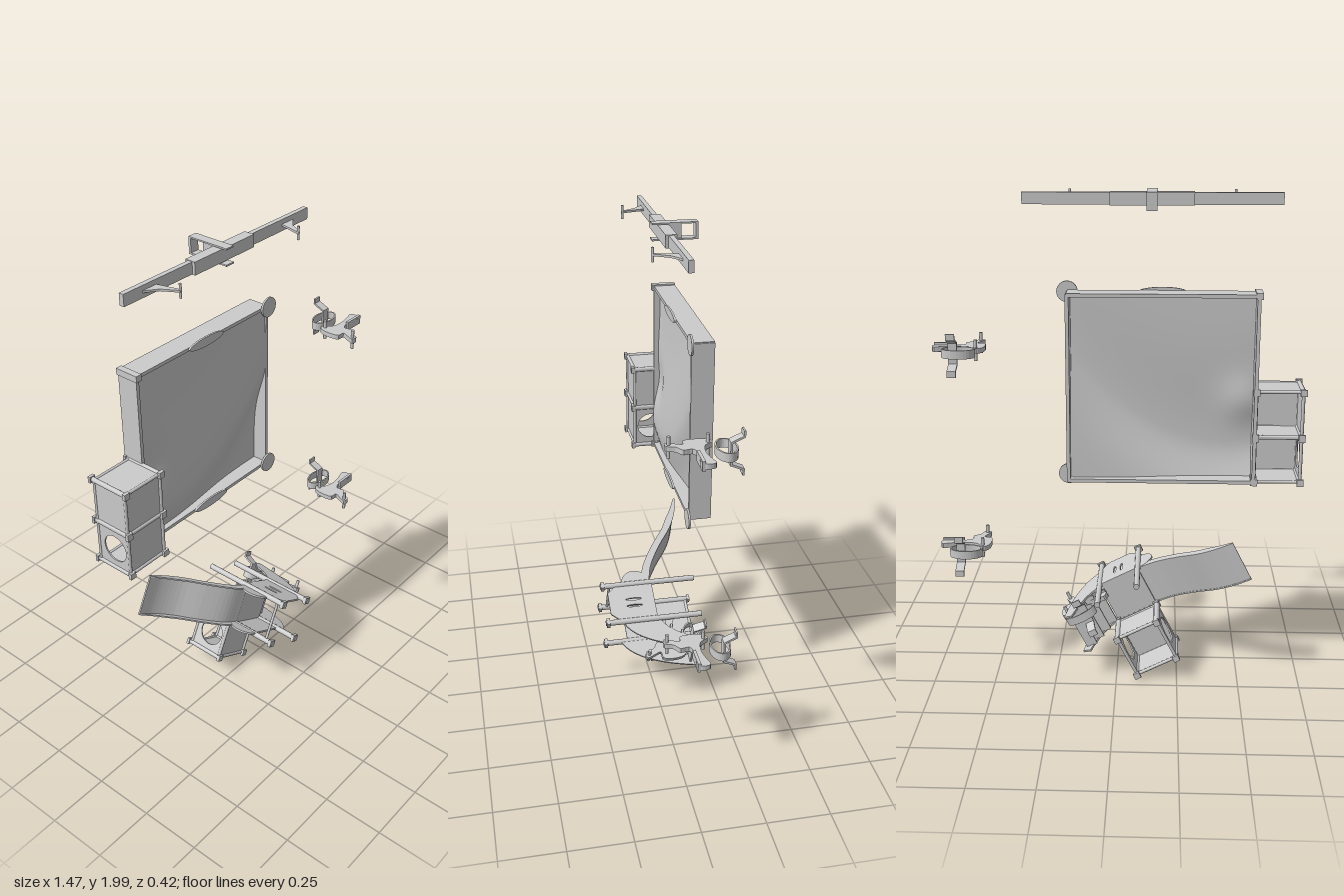
import * as THREE from 'three';

const mat = new THREE.MeshStandardMaterial({ color: 0xcccccc, side: THREE.DoubleSide });

function add(parent, name, geo, x = 0, y = 0, z = 0) {
  const m = new THREE.Mesh(geo, mat);
  m.name = name;
  m.position.set(x, y, z);
  parent.add(m);
  return m;
}
const box = (p, n, w, h, d, x, y, z) => add(p, n, new THREE.BoxGeometry(w, h, d), x, y, z);

// Round rod between two points
function rod(p, name, a, b, r) {
  const A = new THREE.Vector3(...a), B = new THREE.Vector3(...b);
  const m = add(p, name, new THREE.CylinderGeometry(r, r, A.distanceTo(B), 12));
  m.position.copy(A).add(B).multiplyScalar(0.5);
  m.quaternion.setFromUnitVectors(new THREE.Vector3(0, 1, 0), B.sub(A).normalize());
  return m;
}

// Upright slab: outline in x and z, thickness along y
function slab(p, name, shape, thick, x = 0, y = 0, z = 0) {
  const g = new THREE.ExtrudeGeometry(shape, { depth: thick, bevelEnabled: false, curveSegments: 16 });
  g.translate(0, 0, -thick / 2).rotateX(Math.PI / 2);
  return add(p, name, g, x, y, z);
}
const poly = pts => new THREE.Shape(pts.map(q => new THREE.Vector2(...q)));
const smooth = pts => new THREE.Shape(
  new THREE.CatmullRomCurve3(pts.map(q => new THREE.Vector3(q[0], q[1], 0)), true, 'centripetal')
    .getPoints(60).slice(0, -1).map(v => new THREE.Vector2(v.x, v.y)));
const rect = (w, z0, z1) => poly([[-w / 2, z0], [w / 2, z0], [w / 2, z1], [-w / 2, z1]]);
function hole(shape, x, z, rx, rz = rx) {
  const h = new THREE.Path();
  h.absellipse(x, z, rx, rz, 0, Math.PI * 2);
  shape.holes.push(h);
  return shape;
}

// Framed crawl box, open towards the ground
function crawlBox(parent, x, y, holes, top) {
  const g = new THREE.Group();
  g.name = 'crawlBox';
  g.position.set(x, y, 0);
  parent.add(g);
  const h = 0.09, lo = -0.19, hi = top - 0.015;
  for (const i of [-1, 1]) {
    for (const j of [-1, 1]) {
      rod(g, 'post', [i * h, j * h, -0.21], [i * h, j * h, top], 0.01);
      box(g, 'postCap', 0.026, 0.026, 0.014, i * h, j * h, top - 0.007);
      box(g, 'postFoot', 0.026, 0.026, 0.012, i * h, j * h, -0.204);
    }
    for (const z of [lo, hi]) {
      rod(g, 'rail', [i * h, -h, z], [i * h, h, z], 0.007);
      rod(g, 'rail', [-h, i * h, z], [h, i * h, z], 0.007);
    }
    const s = rect(0.17, lo, hi);
    if (holes) hole(s, 0, -0.105, 0.056);
    slab(g, 'sidePanel', s, 0.006, i * h, 0, 0).rotation.z = Math.PI / 2;
    slab(g, 'endPanel', rect(0.17, lo, hi), 0.006, 0, i * h, 0);
  }
  box(g, 'roof', 0.17, 0.17, 0.006, 0, 0, hi - 0.004);
}

// Rider on a bent strap spring
function rider(parent, x, y, angle) {
  const g = new THREE.Group();
  g.name = 'springRider';
  g.position.set(x, y, 0);
  g.rotation.z = angle;
  parent.add(g);
  slab(g, 'body', smooth([[-0.105, -0.10], [-0.08, -0.118], [-0.055, -0.085], [0, -0.074], [0.05, -0.082],
    [0.09, -0.09], [0.096, -0.055], [0.07, -0.038], [0.02, -0.05], [-0.03, -0.035], [-0.028, 0],
    [-0.055, 0.02], [-0.07, 0.055], [-0.096, 0.052], [-0.085, 0.02], [-0.075, -0.008], [-0.105, -0.015]]), 0.02);
  box(g, 'seat', 0.09, 0.038, 0.012, 0.048, 0, -0.046);
  rod(g, 'handle', [-0.08, -0.042, 0.042], [-0.08, 0.042, 0.042], 0.007);
  rod(g, 'footPeg', [-0.08, -0.042, -0.1], [-0.08, 0.042, -0.1], 0.007);
  const ring = new THREE.Shape();
  ring.absellipse(0, 0, 0.066, 0.04, 0, Math.PI * 2);
  slab(g, 'strapSpring', hole(ring, 0, 0, 0.06, 0.034), 0.034, -0.02, 0, -0.152);
  const arch = poly([[-0.085, -0.21], [-0.06, -0.21], [-0.04, -0.165], [0.04, -0.165], [0.06, -0.21],
    [0.085, -0.21], [0.085, -0.203], [0.065, -0.203], [0.045, -0.157], [-0.045, -0.157], [-0.065, -0.203], [-0.085, -0.203]]);
  slab(g, 'anchorStrap', arch, 0.035).rotation.z = Math.PI / 2;
}

function seesaw(parent) {
  const g = new THREE.Group();
  g.name = 'seesaw';
  g.position.set(-0.132, 1.965, 0);
  parent.add(g);
  box(g, 'board', 0.99, 0.046, 0.02, 0, 0, -0.075);
  box(g, 'boardCentre', 0.32, 0.05, 0.044, 0, 0, -0.075);
  for (const s of [-1, 1]) {
    box(g, 'pivotPlate', 0.04, 0.006, 0.18, 0, s * 0.031, -0.12);
    rod(g, 'grip', [s * 0.32, -0.027, 0.027], [s * 0.32, 0.027, 0.027], 0.005);
    const stem = poly([[s * 0.41, -0.068], [s * 0.34, -0.068], [s * 0.315, 0.03], [s * 0.325, 0.03], [s * 0.36, -0.03]]);
    slab(g, 'gripStem', stem, 0.008);
  }
  box(g, 'pivotBase', 0.04, 0.06, 0.01, 0, 0, -0.205);
  box(g, 'pivotBlock', 0.03, 0.06, 0.05, 0, 0, -0.12);
}

function sandPit(parent) {
  const g = new THREE.Group();
  g.name = 'sandPit';
  g.position.set(-0.175, 1.25, 0);
  parent.add(g);
  // Rolling sand with a curved crest, steeper on one side
  const sand = new THREE.PlaneGeometry(0.72, 0.73, 48, 48);
  const p = sand.attributes.position;
  for (let i = 0; i < p.count; i++) {
    const s = p.getX(i) / 0.36, t = p.getY(i) / 0.365;
    const d = t - (-0.45 + 0.5 * s + 0.35 * s * s);
    const fall = d < 0 ? 0.065 * (1 - Math.exp(-((d / 0.5) ** 2))) : 0.03 * (1 - Math.exp(-((d / 0.8) ** 2)));
    const dip = 0.02 * Math.exp(-(((s + 0.9) / 0.25) ** 2) - ((t + 0.15) / 0.25) ** 2);
    p.setZ(i, -0.118 - fall - dip);
  }
  sand.computeVertexNormals();
  add(g, 'sand', sand);
  for (const s of [-1, 1]) {
    box(g, 'sideWall', 0.014, 0.74, 0.09, s * 0.362, 0, -0.165);
    box(g, 'endWall', 0.73, 0.014, 0.09, 0, s * 0.367, -0.165);
    box(g, 'cornerPost', 0.026, 0.026, 0.1, -0.364, s * 0.367, -0.16);
    const lens = new THREE.CylinderGeometry(0.095, 0.095, 0.008, 32);
    lens.rotateX(Math.PI / 2).scale(1, 0.2, 1);
    add(g, 'ledgeSeat', lens, 0, s * 0.367, -0.116);
    const disc = new THREE.CylinderGeometry(0.041, 0.041, 0.008, 32).rotateX(Math.PI / 2);
    add(g, 'cornerSeat', disc, 0.367, s * 0.367, -0.116);
  }
}

function playTower(parent) {
  const g = new THREE.Group();
  g.name = 'playTower';
  g.position.set(-0.043, 0.31, 0);
  g.rotation.z = -0.475;
  parent.add(g);
  const h = 0.09;
  for (const i of [-1, 1]) for (const j of [-1, 1]) {
    rod(g, 'post', [i * h, j * h, -0.21], [i * h, j * h, 0.205], 0.012);
    box(g, 'postCap', 0.03, 0.03, 0.014, i * h, j * h, 0.195);
  }
  box(g, 'deck', 0.18, 0.18, 0.014, 0, 0, -0.012);
  rod(g, 'slideBar', [-h, -h, 0.165], [-h, h, 0.165], 0.006);
  // Wall with grip slots, and a lower one above the crawl box
  const wall = poly([[-0.085, -0.02], [0.085, -0.02], [0.085, 0.14], [0.05, 0.178], [-0.05, 0.178], [-0.085, 0.14]]);
  for (const x of [-0.012, 0.02]) hole(wall, x, 0.07, 0.006, 0.035);
  slab(g, 'slottedWall', wall, 0.008, 0, h, 0);
  slab(g, 'lowWall', rect(0.17, -0.02, 0.1), 0.008, 0, -h, 0);
  // Slide bed, sides and rounded entry guards
  const curve = new THREE.CatmullRomCurve3([[-0.09, -0.005], [-0.17, -0.025], [-0.27, -0.08], [-0.37, -0.15], [-0.45, -0.185], [-0.52, -0.2]]
    .map(q => new THREE.Vector3(q[0], q[1], 0)));
  const line = curve.getPoints(24);
  const strip = rise => poly([...line.map(v => [v.x, v.y - 0.006]),
    ...line.slice().reverse().map((v, i) => [v.x, v.y + rise * Math.min(1, 0.1 + i / 8)])]);
  slab(g, 'slideBed', poly([...line.map(v => [v.x, v.y - 0.004]), ...line.slice().reverse().map(v => [v.x, v.y + 0.003])]), 0.17);
  for (const s of [-1, 1]) {
    slab(g, 'slideSide', strip(0.03), 0.006, 0, s * 0.085, 0);
    const guard = new THREE.Shape();
    guard.absellipse(-h, 0.05, 0.065, 0.062, Math.PI / 2, Math.PI * 1.5);
    slab(g, 'entryGuard', guard, 0.008, 0, s * 0.085, 0);
    // Curved climber cheeks
    const cheek = new THREE.Shape();
    cheek.moveTo(0.09, 0.13);
    cheek.quadraticCurveTo(0.2, 0.09, 0.245, -0.18);
    cheek.lineTo(0.21, -0.2);
    cheek.quadraticCurveTo(0.16, -0.05, 0.09, -0.03);
    slab(g, 'climberCheek', cheek, 0.008, 0, s * 0.085, 0);
  }
  for (let i = 0; i < 4; i++) box(g, 'climberStep', 0.045, 0.17, 0.008, 0.115 + i * 0.03, 0, -0.03 - i * 0.042);
  crawlBox(g, 0, -0.18, true, -0.02);
}

export function createModel() {
  const root = new THREE.Group();
  root.name = 'playgroundPlan';
  seesaw(root);
  sandPit(root);
  crawlBox(root, -0.63, 0.972, true, -0.02);
  crawlBox(root, -0.63, 1.155, false, -0.02);
  playTower(root);
  rider(root, 0.635, 1.38, 0);
  rider(root, 0.635, 0.55, 0);
  rider(root, 0.13, 0.286, Math.PI - 0.475);
  return root;
}
